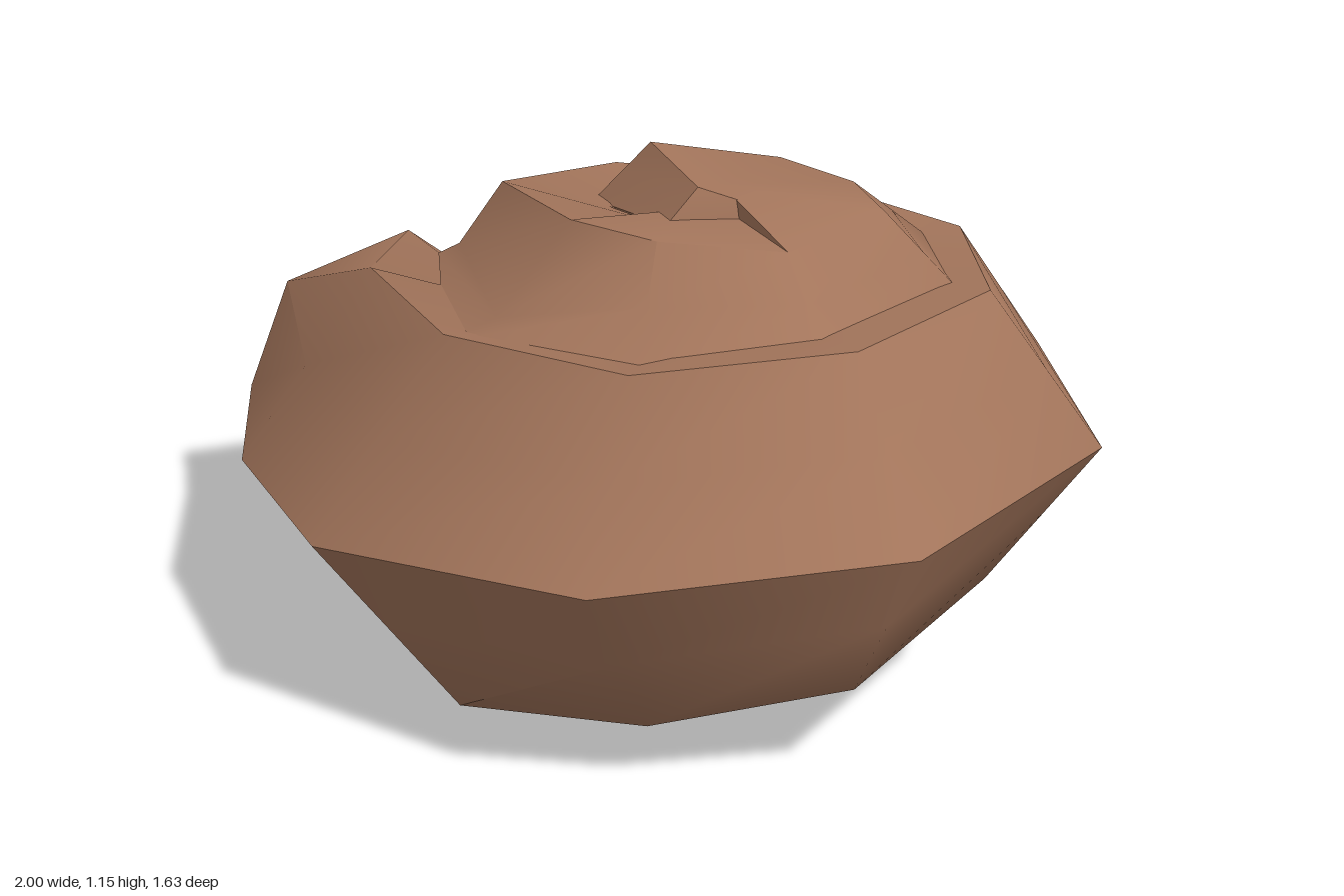
import * as THREE from 'three';
import { toCreasedNormals } from 'three/addons/utils/BufferGeometryUtils.js';

const V = (p) => new THREE.Vector3(...p);
const mix = (a, b, t) => a.clone().lerp(b, t);

// Widest edge of the coil, from the mouth to the tip
const outer = [
  [-1, .40, -.46], [-.9, .42, 0], [-.62, .46, .48], [.01, .55, .81], [.65, .61, .67],
  [1, .63, .13], [.86, .61, -.47], [.37, .60, -.82], [-.23, .62, -.72], [-.48, .86, -.21],
  [-.37, .85, .27], [.06, .88, .46], [.44, .90, .37], [.69, .91, 0], [.6, .90, -.36],
  [.27, .90, -.47], [-.13, 1.0, -.22], [.07, 1.06, .08], [.28, 1.05, .01],
].map(V);

// Shoulder edge above it
const shoulder = [
  [-.63, .77, -.58], [-.61, .86, -.1], [-.37, .87, .28], [.05, .90, .51], [.5, .94, .42],
  [.75, .94, .05], [.67, .92, -.38], [.31, .92, -.64], [-.13, .97, -.56], [-.33, 1.04, -.2],
  [-.13, 1.07, .1], [.07, 1.08, .23], [.34, 1.07, .23], [.52, 1.07, -.04], [.44, 1.07, -.22],
  [.27, 1.08, -.33], [0, 1.15, -.19], [.13, 1.13, .03], [.3, 1.07, 0],
].map(V);

// Lower edge of the first whorl; later whorls are tucked inside it
const lower = [
  [-.58, 0, -.46], [-.5, .02, 0], [-.34, .035, .36], [.1, .15, .59], [.52, .23, .52],
  [.77, .29, .1], [.68, .31, -.35], [.33, .32, -.57], [-.12, .35, -.51], [-.3, .45, -.2],
].map(V);

// Hand-placed corners of particular sections: [section, corner, position]
const corners = [
  [0, 1, [-.92, .64, -.54]], [0, 3, [-.35, .62, -.52]], [0, 4, [-.18, .29, -.43]],
  [0, 6, [-.9, .16, -.43]], [1, 3, [-.25, .72, -.15]], [1, 4, [-.13, .2, -.14]],
  [2, 4, [.1, .21, -.03]], [9, 1, [-.43, .89, -.2]], [10, 1, [-.27, .89, .22]],
];

// Seven-sided cross-section at each step of the coil
function section(k) {
  const a = outer[k], c = shoulder[k];
  const toAxis = (p, t, y) => mix(p, new THREE.Vector3(.17, p.y, -.05), t).setY(y);
  const e = lower[k] ?? toAxis(a, .3, a.y - (k < 16 ? .22 : .04));
  const h = k < 11 ? toAxis(c, .5, c.y - .02) : toAxis(c, 1, k < 13 ? 1.06 : 1.11);
  const g = toAxis(e, k < 11 ? .96 : 1, k < 10 ? .25 : e.y);
  const s = [a, mix(a, c, .5), c, h, g, e, mix(a, e, .5)];
  for (const [i, j, p] of corners) if (i === k) s[j] = V(p);
  return s;
}

// Skin consecutive strips of points with quads
function skin(strips) {
  const pos = [];
  const tri = (...pts) => pts.forEach((p) => pos.push(p.x, p.y, p.z));
  for (let k = 0; k < strips.length - 1; k++) {
    const p = strips[k], q = strips[k + 1];
    for (let j = 0; j < p.length - 1; j++) {
      tri(p[j], q[j], q[j + 1]);
      tri(p[j], q[j + 1], p[j + 1]);
    }
  }
  return pos;
}

function makeMesh(name, strips, material, crease) {
  const geo = new THREE.BufferGeometry();
  geo.setAttribute('position', new THREE.Float32BufferAttribute(skin(strips), 3));
  const mesh = new THREE.Mesh(toCreasedNormals(geo, crease), material);
  mesh.name = name;
  return mesh;
}

const centre = (loop) => loop.reduce((s, p) => s.add(p), new THREE.Vector3()).divideScalar(loop.length);
const shrink = (loop, t) => loop.map((p) => mix(p, centre(loop), t));
const close = (loop) => [...loop, loop[0]];

export function createModel() {
  const brown = new THREE.MeshStandardMaterial({ color: 0xa3755b });
  brown.name = 'shell brown';
  const grey = new THREE.MeshStandardMaterial({ color: 0x927b6e });
  grey.name = 'mouth grey brown';

  const group = new THREE.Group();
  group.name = 'spiralShell';
  const loops = outer.map((_, k) => section(k));

  // Coiled tube: creased upper side, softly rounded underside
  const pick = (ids) => loops.map((s) => ids.map((i) => s[i]));
  group.add(makeMesh('coilUpperSide', pick([0, 1, 2, 3, 4]), brown, .8));
  group.add(makeMesh('coilUnderside', pick([4, 5, 6, 0]), brown, 1.35));

  // Rim round the mouth, its inner edge standing slightly proud
  const lip = shrink(loops[0], .2);
  lip.forEach((p) => { p.z -= .035; });
  group.add(makeMesh('mouthRim', [close(lip), close(loops[0])], grey, .8));

  // Hollow behind the rim, closed by a back wall
  const inner = shrink(loops[1], .3);
  const deep = lip.map((p, j) => mix(p, inner[j], .7));
  const back = deep.map(() => centre(deep));
  group.add(makeMesh('mouthHollow', [back, deep, lip].map(close), grey, 1.8));
  return group;
}
